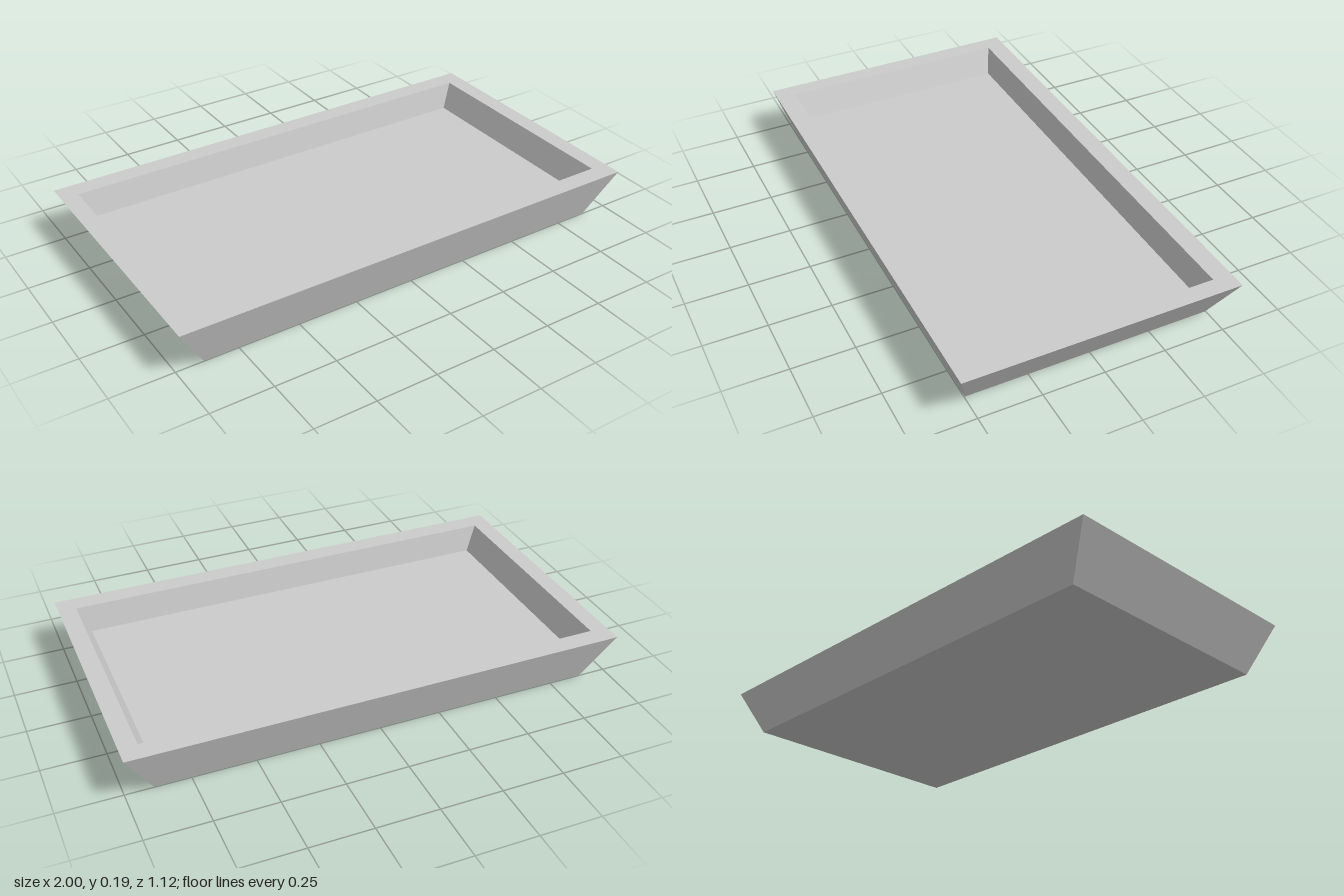
import * as THREE from 'three';

// Corners of a horizontal rectangle, counter-clockwise seen from above
const loop = (hx, hz, y) => [[-hx, y, hz], [hx, y, hz], [hx, y, -hz], [-hx, y, -hz]];

export function createModel() {
  const group = new THREE.Group();
  group.name = 'tray';

  // Rectangular sections from the underside, over the rim, down to the floor
  const loops = [
    loop(0.89, 0.497, 0),      // base
    loop(1, 0.56, 0.194),      // outer rim
    loop(0.928, 0.481, 0.194), // inner rim
    loop(0.88, 0.455, 0.087),  // recessed floor
  ];

  const positions = [];
  const quad = (a, b, c, d) => positions.push(...[a, b, c, a, c, d].flat());

  // Outer walls, rim and inner walls
  for (let i = 0; i < loops.length - 1; i++) {
    for (let j = 0; j < 4; j++) {
      const k = (j + 1) % 4;
      quad(loops[i][j], loops[i][k], loops[i + 1][k], loops[i + 1][j]);
    }
  }
  quad(...loops[3]);                // floor, facing up
  quad(...[...loops[0]].reverse()); // underside, facing down

  const geometry = new THREE.BufferGeometry();
  geometry.setAttribute('position', new THREE.Float32BufferAttribute(positions, 3));
  geometry.computeVertexNormals();

  const material = new THREE.MeshStandardMaterial({ color: 0xcccccc, flatShading: true });
  const body = new THREE.Mesh(geometry, material);
  body.name = 'trayBody';
  group.add(body);
  return group;
}
